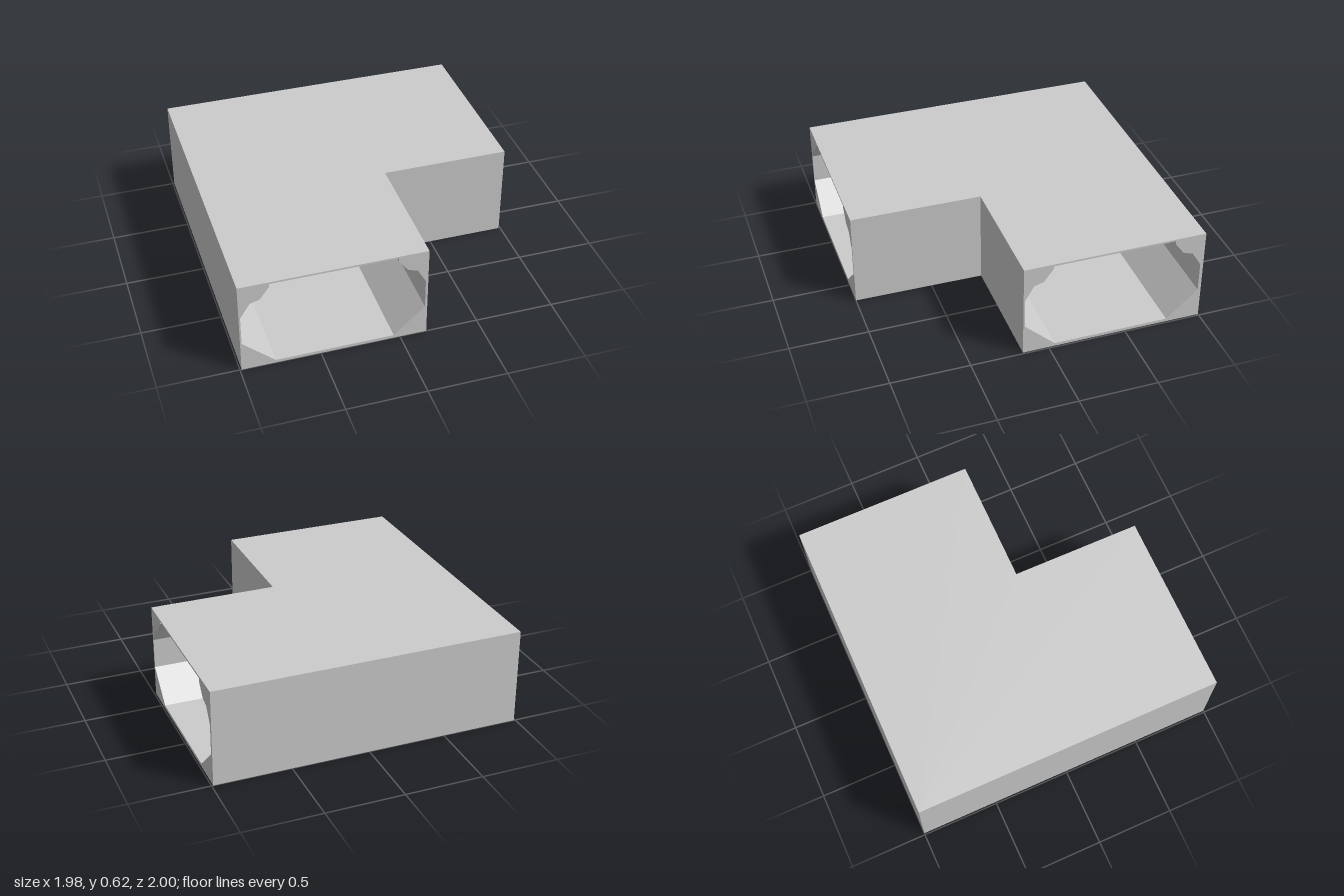
import * as THREE from 'three';

const HEIGHT = 0.62;
const END_X = 0.99, END_Z = 1;
// L-shaped footprint as [x, z]; edges 1 and 4 are the open ends
const OUTLINE = [[-0.99, -1], [-0.99, 1], [0.17, 1], [0.175, 0.165], [0.99, 0.165], [0.99, -1]];
// Passage cross-section as [across, up]
const PROFILE = [
  [-0.78, 0.02], [-0.04, 0.02], [0.155, 0.2], [0.155, 0.395], [0.1, 0.49], [0.04, 0.508], [-0.02, 0.588],
  [-0.02, 0.608], [-0.8, 0.608], [-0.8, 0.588], [-0.86, 0.508], [-0.92, 0.49], [-0.98, 0.395], [-0.98, 0.2],
];
const CORNER = -0.78; // where the outer corner of the passage is cut off

const toShape = (pts) => new THREE.Shape(pts.map(([a, b]) => new THREE.Vector2(a, b)));

// Inner passage: cross-section carried along both legs, inward facing
function passageGeometry() {
  const rings = [
    PROFILE.map(([u, y]) => [u, y, END_Z]),
    PROFILE.map(([u, y]) => [u, y, Math.max(u, CORNER)]),
    PROFILE.map(([u, y]) => [Math.max(u, CORNER), y, u]),
    PROFILE.map(([u, y]) => [END_X, y, u]),
  ].map((ring) => ring.map((p) => new THREE.Vector3(...p)));
  const points = [];
  const addTriangle = (...t) => {
    if (new THREE.Triangle(...t).getArea() > 1e-7) points.push(...t);
  };
  for (let i = 0; i < rings.length - 1; i++) {
    for (let j = 0; j < PROFILE.length; j++) {
      const k = (j + 1) % PROFILE.length;
      addTriangle(rings[i][j], rings[i][k], rings[i + 1][k]);
      addTriangle(rings[i][j], rings[i + 1][k], rings[i + 1][j]);
    }
  }
  const geometry = new THREE.BufferGeometry().setFromPoints(points);
  geometry.computeVertexNormals();
  return geometry;
}

// Flat end frame with the passage opening; sign mirrors the cross-section
function frameGeometry(from, to, sign) {
  const shape = toShape([[from, 0], [to, 0], [to, HEIGHT], [from, HEIGHT]]);
  shape.holes.push(new THREE.Path(PROFILE.map(([u, y]) => new THREE.Vector2(sign * u, y))));
  return new THREE.ShapeGeometry(shape);
}

export function createModel() {
  const group = new THREE.Group();
  group.name = 'cornerCorridor';
  const material = new THREE.MeshStandardMaterial({
    color: 0xcccccc, flatShading: true, side: THREE.DoubleSide,
  });
  const add = (name, geometry) => {
    const mesh = new THREE.Mesh(geometry, material);
    mesh.name = name;
    group.add(mesh);
    return mesh;
  };

  // Roof and underside
  add('roof', new THREE.ShapeGeometry(toShape(OUTLINE.map(([x, z]) => [x, -z]))).rotateX(-Math.PI / 2))
    .position.y = HEIGHT;
  add('underside', new THREE.ShapeGeometry(toShape(OUTLINE)).rotateX(Math.PI / 2));

  // Closed outer walls
  OUTLINE.forEach(([x0, z0], i) => {
    if (i === 1 || i === 4) return;
    const [x1, z1] = OUTLINE[(i + 1) % OUTLINE.length];
    const dx = x1 - x0, dz = z1 - z0;
    const wall = add('outerWall', new THREE.PlaneGeometry(Math.hypot(dx, dz), HEIGHT));
    wall.position.set((x0 + x1) / 2, HEIGHT / 2, (z0 + z1) / 2);
    wall.rotation.y = Math.atan2(-dz, dx);
  });

  // Frames around the two openings
  add('frontFrame', frameGeometry(-0.99, 0.17, 1)).position.z = END_Z;
  const sideFrame = add('sideFrame', frameGeometry(-0.165, 1, -1));
  sideFrame.position.x = END_X;
  sideFrame.rotation.y = Math.PI / 2;

  add('passage', passageGeometry());
  return group;
}
